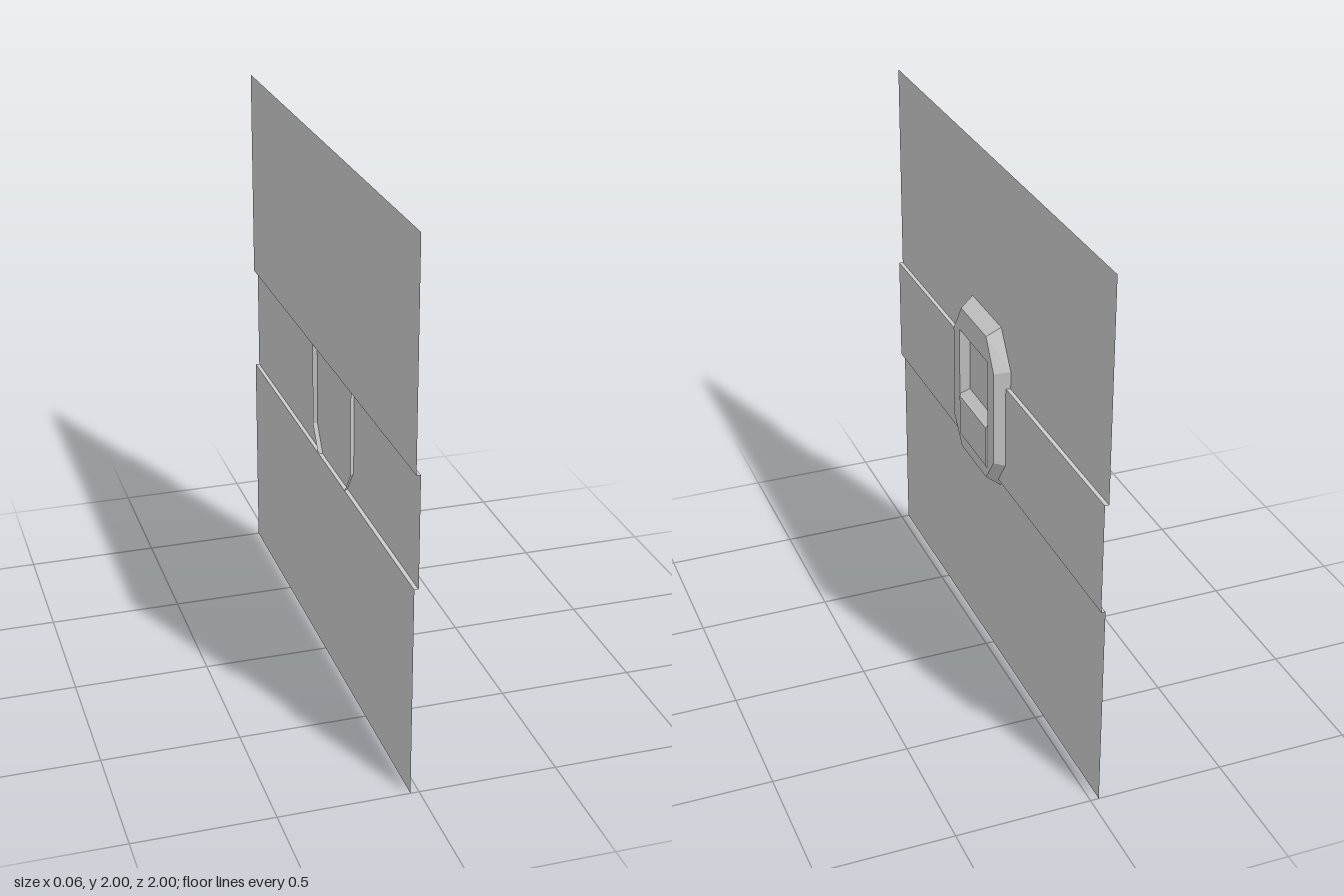
import * as THREE from 'three';

const material = new THREE.MeshStandardMaterial({ color: 0xcccccc, flatShading: true, side: THREE.DoubleSide });

// Quad strip between two outlines of [u, y], each at its own depth
function strip(a, depthA, b, depthB, closed = true) {
  const pos = [];
  const n = closed ? a.length : a.length - 1;
  for (let i = 0; i < n; i++) {
    const j = (i + 1) % a.length;
    const p = [...a[i], depthA], q = [...a[j], depthA], r = [...b[j], depthB], s = [...b[i], depthB];
    pos.push(...p, ...q, ...r, ...p, ...r, ...s);
  }
  const g = new THREE.BufferGeometry();
  g.setAttribute('position', new THREE.Float32BufferAttribute(pos, 3));
  g.computeVertexNormals();
  return g;
}

// Flat face of an outline, with an optional hole
function face(outline, depth, hole) {
  const shape = new THREE.Shape(outline.map(p => new THREE.Vector2(...p)));
  if (hole) shape.holes.push(new THREE.Path(hole.map(p => new THREE.Vector2(...p))));
  return new THREE.ShapeGeometry(shape).translate(0, 0, depth);
}

const rect = (u0, u1, y0, y1) => [[u0, y0], [u1, y0], [u1, y1], [u0, y1]];

// Counter-clockwise octagon: flat ends (e0..e1), sides (s0..s1), corner heights
const octagon = (e0, e1, s0, s1, y0, yLow, yHigh, y1) => [
  [e0, y0], [e1, y0], [s1, yLow], [s1, yHigh], [e1, y1], [e0, y1], [s0, yHigh], [s0, yLow]];

export function createModel() {
  const model = new THREE.Group();
  // Parts are laid out facing +z, then turned to face +x
  const panel = new THREE.Group();
  panel.name = 'panel';
  panel.rotation.y = Math.PI / 2;
  model.add(panel);

  const add = (name, ...geometries) => {
    const part = new THREE.Group();
    part.name = name;
    for (const g of geometries) {
      const mesh = new THREE.Mesh(g, material);
      mesh.name = name;
      part.add(mesh);
    }
    panel.add(part);
  };

  const wallDepth = -0.031, bandDepth = -0.016, frontDepth = 0.021, flapDepth = 0.027;
  const bandLow = 0.785, bandHigh = 1.195;

  // Thin wall sheets with a stepped-out middle band
  add('lowerWall', face(rect(-1, 1, 0, bandLow), wallDepth));
  add('upperWall', face(rect(-1, 1, bandHigh, 2), wallDepth));
  add('band', face(rect(-1, 1, bandLow, bandHigh), bandDepth));
  for (const [name, y] of [['lowerLedge', bandLow], ['upperLedge', bandHigh]]) {
    const edge = [[-1, y], [1, y]];
    add(name, strip(edge, wallDepth, edge, bandDepth, false));
  }

  // Bevelled housing, open at the back
  const base = octagon(-0.214, 0.069, -0.308, 0.161, 0.75, 0.878, 1.263, 1.396);
  const front = octagon(-0.195, 0.054, -0.274, 0.128, 0.787, 0.885, 1.247, 1.362);
  const windowOuter = rect(-0.214, 0.068, 1.0, 1.267);
  const windowInner = rect(-0.192, 0.047, 1.026, 1.243);
  add('housing', strip(base, wallDepth, front, frontDepth), face(front, frontDepth, windowOuter));

  // Recessed window with sloped frame
  const floorDepth = -0.011;
  add('window', strip(windowOuter, frontDepth, windowInner, floorDepth), face(windowInner, floorDepth));

  // Raised flap under the window
  const flapBase = rect(-0.203, 0.065, 0.832, 1.003);
  const flapFront = rect(-0.2, 0.062, 0.842, 1.0);
  add('flap', strip(flapBase, frontDepth, flapFront, flapDepth), face(flapFront, flapDepth));

  return model;
}
